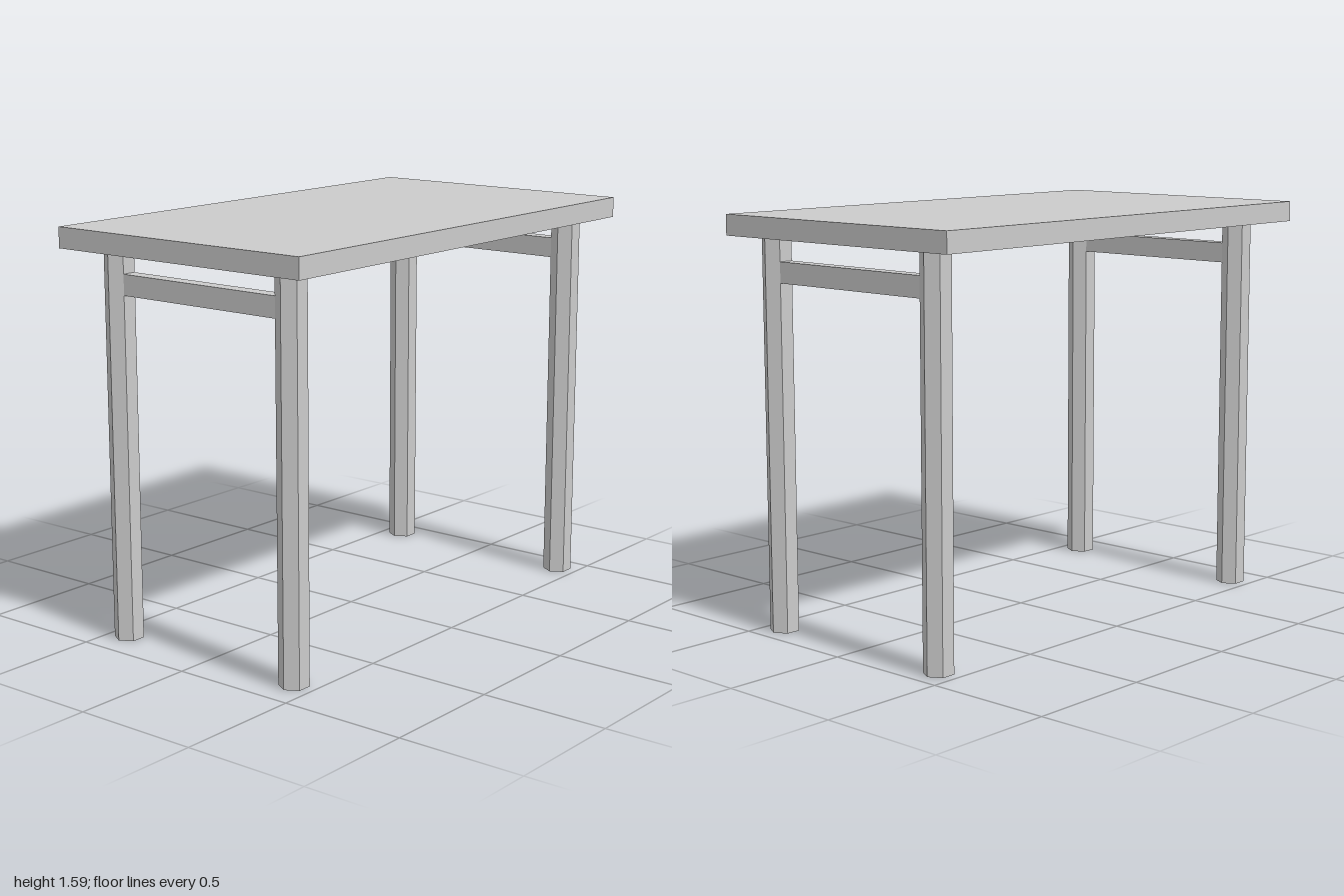
import * as THREE from 'three';

export function createModel() {
  const group = new THREE.Group();
  const material = new THREE.MeshStandardMaterial({ color: 0xcccccc, flatShading: true });
  const add = (name, geometry, x, y, z) => {
    const mesh = new THREE.Mesh(geometry, material);
    mesh.name = name;
    mesh.position.set(x, y, z);
    group.add(mesh);
  };

  const topHeight = 1.59, topThickness = 0.08;
  const legHeight = topHeight - topThickness;
  const legRadius = 0.0575, legX = 0.414;

  // Flat slab on top
  add('tabletop', new THREE.BoxGeometry(1.147, topThickness, 2), 0, topHeight - topThickness / 2, 0);

  // Hexagonal legs, with a rail joining the flat inner faces of each pair
  const legGeometry = new THREE.CylinderGeometry(legRadius, legRadius, legHeight, 6);
  const railLength = 2 * (legX - legRadius * Math.cos(Math.PI / 6));
  const railGeometry = new THREE.BoxGeometry(railLength, 0.08, legRadius);

  for (const [end, z] of [['front', 0.8525], ['back', -0.8925]]) {
    add(end + 'LeftLeg', legGeometry, legX, legHeight / 2, z);
    add(end + 'RightLeg', legGeometry, -legX, legHeight / 2, z);
    add(end + 'Rail', railGeometry, 0, 1.38, z);
  }
  return group;
}
